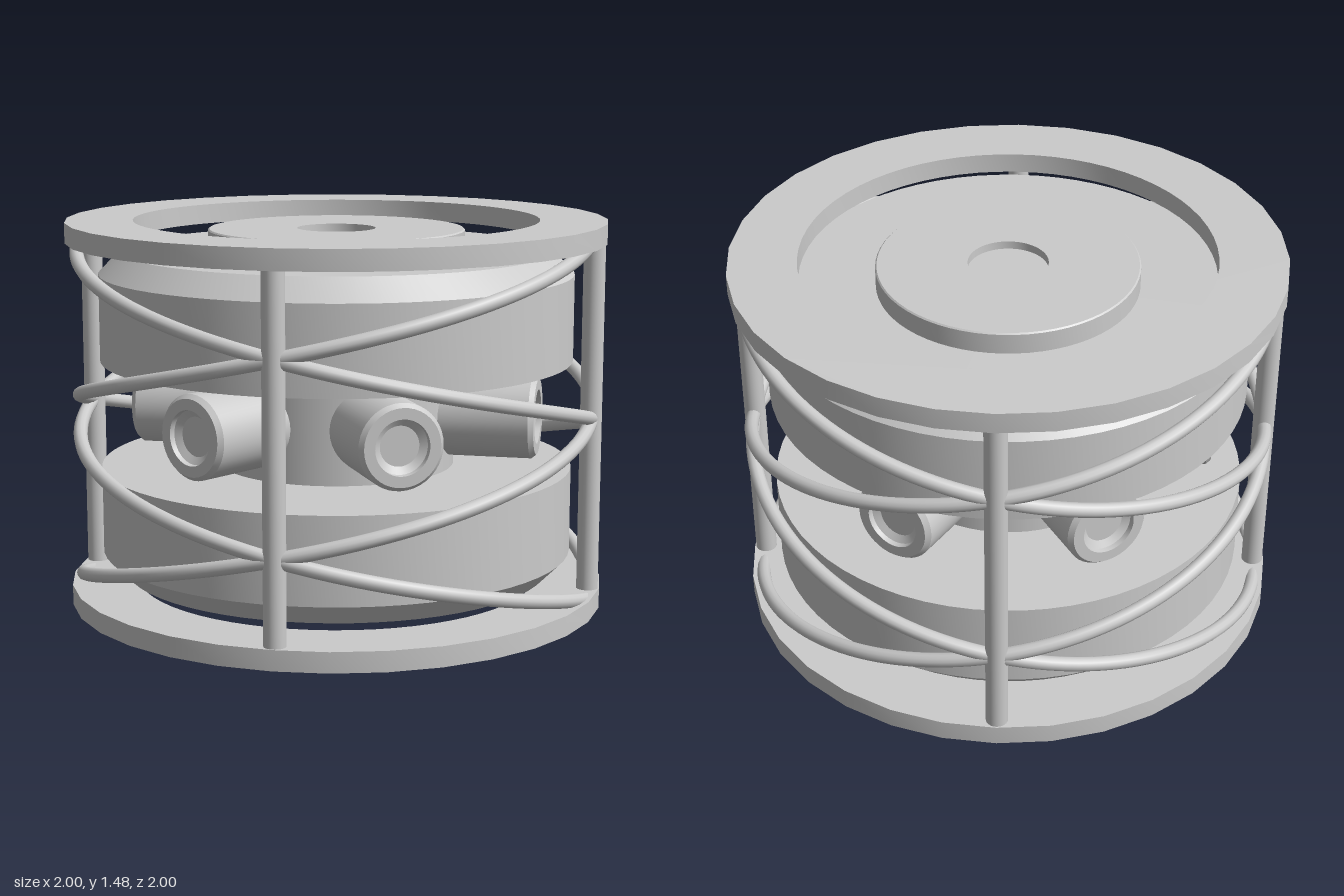
import * as THREE from 'three';
import { toCreasedNormals } from 'three/addons/utils/BufferGeometryUtils.js';

const MID = 0.765; // height of the horizontal symmetry plane
const material = new THREE.MeshStandardMaterial({ color: 0xcccccc });

function add(parent, name, geometry) {
  const mesh = new THREE.Mesh(geometry, material);
  mesh.name = name;
  parent.add(mesh);
  return mesh;
}

// Turned part; the profile runs bottom to top along the outside
function lathe(points, segments = 64) {
  const profile = points.map(([r, y]) => new THREE.Vector2(r, y));
  return toCreasedNormals(new THREE.LatheGeometry(profile, segments), 0.5);
}

// Upright plate with a round hole, from outline points
function plate(outline, holeRadius, y, height) {
  const shape = new THREE.Shape(outline);
  const hole = new THREE.Path();
  hole.absarc(0, 0, holeRadius, 0, Math.PI * 2, true);
  shape.holes.push(hole);
  const g = new THREE.ExtrudeGeometry(shape, { depth: height, bevelEnabled: false, curveSegments: 32 });
  g.rotateX(-Math.PI / 2).translate(0, y, 0);
  return toCreasedNormals(g, 0.4);
}

function polar(count, radiusAt) {
  return Array.from({ length: count }, (_, i) => {
    const a = (i / count) * Math.PI * 2;
    return new THREE.Vector2(Math.cos(a), Math.sin(a)).multiplyScalar(radiusAt(i));
  });
}

class Helix extends THREE.Curve {
  constructor(radius, start, turn, y0, y1) {
    super();
    Object.assign(this, { radius, start, turn, y0, y1 });
  }
  getPoint(t, target = new THREE.Vector3()) {
    const a = this.start + this.turn * t;
    return target.set(this.radius * Math.cos(a), this.y0 + (this.y1 - this.y0) * t, this.radius * Math.sin(a));
  }
}

export function createModel() {
  const model = new THREE.Group();
  model.name = 'cagedDrum';

  // Cage: two end rings, four posts, four crossing helical wires
  const cage = new THREE.Group();
  cage.name = 'cage';
  model.add(cage);
  const rim = polar(32, () => 1);
  add(cage, 'lowerRing', plate(rim, 0.75, 0.05, 0.075));
  add(cage, 'upperRing', plate(rim, 0.75, 1.405, 0.075));
  for (let i = 0; i < 4; i++) {
    const a = (i * Math.PI) / 2;
    const post = add(cage, 'post', new THREE.CylinderGeometry(0.04, 0.04, 1.3, 24));
    post.position.set(0.955 * Math.cos(a), MID, 0.955 * Math.sin(a));
  }
  for (const start of [0, Math.PI]) {
    for (const hand of [1, -1]) {
      const path = new Helix(0.957, start, hand * Math.PI * 2, MID - 0.68, MID + 0.68);
      add(cage, 'helicalWire', new THREE.TubeGeometry(path, 128, 0.026, 12));
    }
  }

  // Core with mirrored chamfered drums and recessed hub plates
  const body = new THREE.Group();
  body.name = 'body';
  model.add(body);
  add(body, 'core', new THREE.CylinderGeometry(0.44, 0.44, 0.5, 64, 1, true)).position.y = MID;

  const drum = lathe([[0, 0.2], [0.88, 0.2], [0.88, 0.52], [0.8, 0.6], [0, 0.6]]);
  const hub = lathe([[0.475, 0.58], [0.475, 0.675], [0.47, 0.68], [0.145, 0.68], [0.145, 0.65], [0, 0.65]]);
  for (const end of ['upper', 'lower']) {
    const half = new THREE.Group();
    half.name = end + 'Half';
    half.position.y = MID;
    if (end === 'lower') half.rotation.x = Math.PI;
    add(half, 'drum', drum);
    add(half, 'hubPlate', hub);
    body.add(half);
  }

  // Six radial nozzles with a dished end
  const nozzleGeometry = lathe([
    [0.155, 0.3], [0.155, 0.742], [0.14, 0.76], [0.1, 0.76], [0.098, 0.74], [0.072, 0.725], [0, 0.725],
  ], 40).rotateZ(-Math.PI / 2);
  for (let i = 0; i < 6; i++) {
    const nozzle = add(body, 'nozzle', nozzleGeometry);
    nozzle.position.y = MID;
    nozzle.rotation.y = (i * Math.PI) / 3;
  }

  // Knurled foot under the hub
  const knurl = polar(192, (i) => (i % 4 < 2 ? 0.175 : 0.166));
  add(model, 'knurledFoot', plate(knurl, 0.145, 0, 0.1));
  const floor = add(model, 'footFloor', new THREE.CylinderGeometry(0.15, 0.15, 0.06, 48));
  floor.position.y = 0.06;

  return model;
}
